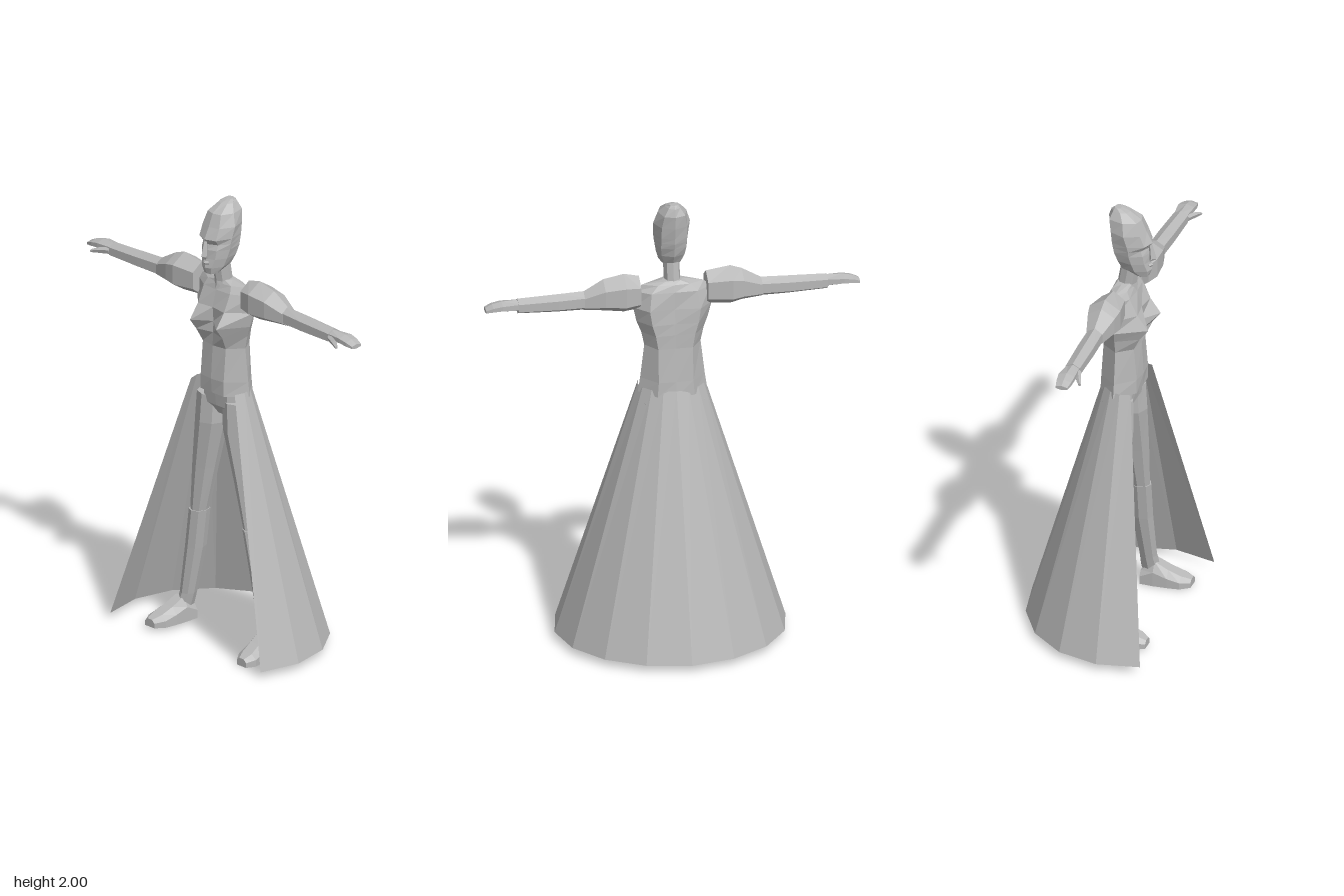
import * as THREE from 'three';

const grey = new THREE.MeshStandardMaterial({ color: 0xb8b8b8 });
grey.name = 'grey';
const greyCloth = new THREE.MeshStandardMaterial({ color: 0xb8b8b8, side: THREE.DoubleSide });
greyCloth.name = 'grey cloth';

// Faceted closed skin over a stack of rings, turned so that its faces point outwards.
function loft(name, rings) {
  const tris = [];
  const n = rings[0].length;
  for (let i = 0; i < rings.length - 1; i++) {
    for (let j = 0; j < n; j++) {
      const k = (j + 1) % n;
      const [a, b, c, d] = [rings[i][j], rings[i][k], rings[i + 1][k], rings[i + 1][j]];
      tris.push([a, b, c], [a, c, d]);
    }
  }
  const end = rings[rings.length - 1];
  for (let j = 1; j < n - 1; j++) {
    tris.push([rings[0][0], rings[0][j + 1], rings[0][j]], [end[0], end[j], end[j + 1]]);
  }
  let volume = 0;
  for (const [a, b, c] of tris) volume += a.dot(b.clone().cross(c));
  if (volume < 0) tris.forEach((t) => t.reverse());
  return mesh(name, tris, grey);
}

function mesh(name, tris, material) {
  const geometry = new THREE.BufferGeometry().setFromPoints(tris.flat());
  geometry.computeVertexNormals();
  const m = new THREE.Mesh(geometry, material);
  m.name = name;
  return m;
}

// Level: [y, front z, cheek x, z, side x, z, back corner x, z, back z], mirrored in x.
function mirroredRing([y, front, ax, az, bx, bz, cx, cz, back]) {
  const half = [[ax, az], [bx, bz], [cx, cz]];
  return [[0, front], ...half, [0, back], ...half.map(([x, z]) => [-x, z]).reverse()]
    .map(([x, z]) => new THREE.Vector3(x, y, z));
}

// Oval section of n sides around a centre; axis is the direction of the limb.
function oval(axis, [x, y, z, r1, r2], n, turn = 0) {
  return Array.from({ length: n }, (_, i) => {
    const t = (i / n) * Math.PI * 2 + turn;
    const u = Math.cos(t) * r1;
    const v = Math.sin(t) * r2;
    if (axis === 'x') return new THREE.Vector3(x, y + u, z + v);
    if (axis === 'y') return new THREE.Vector3(x + u, y, z + v);
    return new THREE.Vector3(x + u, y + v, z);
  });
}
const limb = (name, axis, sections, n, turn) => loft(name, sections.map((s) => oval(axis, s, n, turn)));

function makeHead() {
  const head = new THREE.Group();
  head.name = 'head';
  head.add(loft('skullAndFace', [
    [1.69, 0.2, 0.02, 0.195, 0.03, 0.17, 0.02, 0.14, 0.13],
    [1.72, 0.212, 0.028, 0.2, 0.05, 0.15, 0.035, 0.09, 0.075],
    [1.76, 0.205, 0.04, 0.19, 0.062, 0.14, 0.05, 0.075, 0.05],
    [1.8, 0.205, 0.045, 0.185, 0.07, 0.13, 0.055, 0.06, 0.04],
    [1.825, 0.2, 0.045, 0.176, 0.074, 0.13, 0.055, 0.055, 0.033],
    [1.85, 0.214, 0.05, 0.195, 0.077, 0.125, 0.055, 0.05, 0.03],
    [1.9, 0.188, 0.05, 0.175, 0.08, 0.11, 0.055, 0.045, 0.022],
    [1.955, 0.165, 0.04, 0.155, 0.062, 0.1, 0.045, 0.035, 0.018],
    [1.988, 0.115, 0.025, 0.105, 0.035, 0.08, 0.025, 0.045, 0.03],
    [2, 0.075, 0.015, 0.072, 0.02, 0.06, 0.015, 0.05, 0.045],
  ].map(mirroredRing)));
  // nose and lips
  head.add(limb('nose', 'y', [[0, 1.765, 0.208, 0.016, 0.01], [0, 1.775, 0.213, 0.016, 0.02],
    [0, 1.84, 0.205, 0.007, 0.009]], 4));
  head.add(limb('lips', 'y', [[0, 1.735, 0.203, 0.014, 0.008], [0, 1.742, 0.205, 0.02, 0.012],
    [0, 1.75, 0.203, 0.014, 0.008]], 4));
  head.add(limb('neck', 'y', [[0, 1.6, 0.1, 0.045, 0.045], [0, 1.64, 0.1, 0.035, 0.042],
    [0, 1.74, 0.118, 0.036, 0.042]], 8));
  return head;
}

function makeArm(s) {
  const arm = new THREE.Group();
  arm.name = s > 0 ? 'leftArm' : 'rightArm';
  const place = (list) => list.map(([x, ...rest]) => [s * x, ...rest]);
  const hump = s > 0 ? 0.21 : 0.25;
  // puffed sleeve
  arm.add(limb('puffSleeve', 'x', place([[0.145, 1.595, 0.09, 0.075, 0.06],
    [hump, 1.598, 0.09, 0.087, 0.08], [0.3, 1.595, 0.092, 0.072, 0.07],
    [0.385, 1.575, 0.092, 0.043, 0.042]]), 6));
  arm.add(limb('forearm', 'x', place([[0.36, 1.577, 0.092, 0.043, 0.038],
    [0.5, 1.574, 0.094, 0.04, 0.04], [0.67, 1.573, 0.098, 0.034, 0.037]]), 6));
  // hand and thumb
  arm.add(limb('hand', 'x', place([[0.65, 1.576, 0.098, 0.027, 0.032],
    [0.74, 1.58, 0.096, 0.02, 0.042], [0.78, 1.574, 0.098, 0.017, 0.038],
    [0.81, 1.566, 0.098, 0.01, 0.03]]), 6));
  arm.add(limb('thumb', 'x', place([[0.67, 1.573, 0.12, 0.016, 0.016],
    [0.72, 1.567, 0.142, 0.013, 0.013], [0.75, 1.56, 0.158, 0.007, 0.007]]), 5));
  return arm;
}

function makeLeg(s) {
  const leg = new THREE.Group();
  leg.name = s > 0 ? 'leftLeg' : 'rightLeg';
  const d = s > 0 ? 0.045 : 0; // this foot stands a little wider
  const place = (list) => list.map(([x, ...rest]) => [s * x, ...rest]);
  leg.add(limb('thigh', 'y', place([[0.078, 1.1, 0.085, 0.07, 0.07],
    [0.085, 0.97, 0.085, 0.072, 0.075], [0.12 + d * 0.3, 0.75, 0.09, 0.055, 0.06],
    [0.152 + d * 0.5, 0.53, 0.095, 0.036, 0.044]]), 8));
  leg.add(limb('boot', 'y', place([[0.152 + d * 0.5, 0.54, 0.095, 0.042, 0.05],
    [0.18 + d * 0.7, 0.36, 0.09, 0.042, 0.05], [0.215 + d, 0.14, 0.1, 0.034, 0.04],
    [0.235 + d, 0.07, 0.105, 0.036, 0.045]]), 8));
  // shoe, from heel to toe
  const y = s > 0 ? 0 : 0.015;
  const toe = [[0.225, 0.07, 0.035, 0.06], [0.235, 0.13, 0.045, 0.11], [0.245, 0.19, 0.05, 0.075],
    [0.255, 0.245, 0.052, 0.05], [0.26, 0.285, 0.028, 0.035]];
  leg.add(loft('shoe', toe.map(([x, z, w, h]) =>
    [[-w, 0], [w, 0], [w, h * 0.6], [w * 0.5, h], [-w * 0.5, h], [-w, h * 0.6]]
      .map(([u, v]) => new THREE.Vector3(s * (x + d * 0.9) + u, y + v, z)))));
  return leg;
}

function makeSkirt() {
  const half = [[0.19, -0.29], [0.35, -0.19], [0.46, -0.04], [0.5, 0.14], [0.46, 0.325]];
  const hem = [...half.map(([x, z]) => [-x, z]).reverse(), [0, -0.33], ...half];
  const low = hem.map(([x, z]) => new THREE.Vector3(x, 0.03, z));
  const high = hem.map(([x, z]) => new THREE.Vector3(x * 0.29, 1.16, 0.082 + z * 0.25));
  const tris = [];
  for (let i = 0; i < hem.length - 1; i++) {
    tris.push([low[i], high[i], low[i + 1]], [low[i + 1], high[i], high[i + 1]]);
  }
  return mesh('openSkirt', tris, greyCloth);
}

export function createModel() {
  const model = new THREE.Group();
  model.name = 'figure';
  model.add(makeHead(), makeSkirt());
  // bodice with flared hem, bust and shoulders
  model.add(loft('bodice', [
    [1.135, 0.17, 0.07, 0.168, 0.15, 0.09, 0.08, 0.008, 0],
    [1.2, 0.175, 0.07, 0.168, 0.14, 0.09, 0.075, 0.01, 0.006],
    [1.35, 0.165, 0.07, 0.155, 0.122, 0.09, 0.075, 0.02, 0.02],
    [1.41, 0.163, 0.08, 0.185, 0.135, 0.09, 0.085, 0.02, 0.022],
    [1.46, 0.16, 0.08, 0.222, 0.155, 0.095, 0.1, 0.02, 0.026],
    [1.525, 0.165, 0.08, 0.175, 0.17, 0.09, 0.11, 0.022, 0.035],
    [1.6, 0.145, 0.08, 0.14, 0.165, 0.09, 0.1, 0.04, 0.04],
    [1.63, 0.135, 0.07, 0.125, 0.135, 0.085, 0.07, 0.055, 0.05],
    [1.645, 0.13, 0.03, 0.12, 0.045, 0.09, 0.03, 0.065, 0.06],
  ].map(mirroredRing)));
  model.add(loft('pelvis', [
    [1.02, 0.11, 0.02, 0.11, 0.035, 0.085, 0.02, 0.05, 0.05],
    [1.07, 0.145, 0.07, 0.145, 0.135, 0.085, 0.07, 0.02, 0.025],
    [1.16, 0.155, 0.07, 0.15, 0.138, 0.085, 0.07, 0.015, 0.012],
  ].map(mirroredRing)));
  for (const s of [1, -1]) model.add(makeArm(s), makeLeg(s));
  return model;
}
